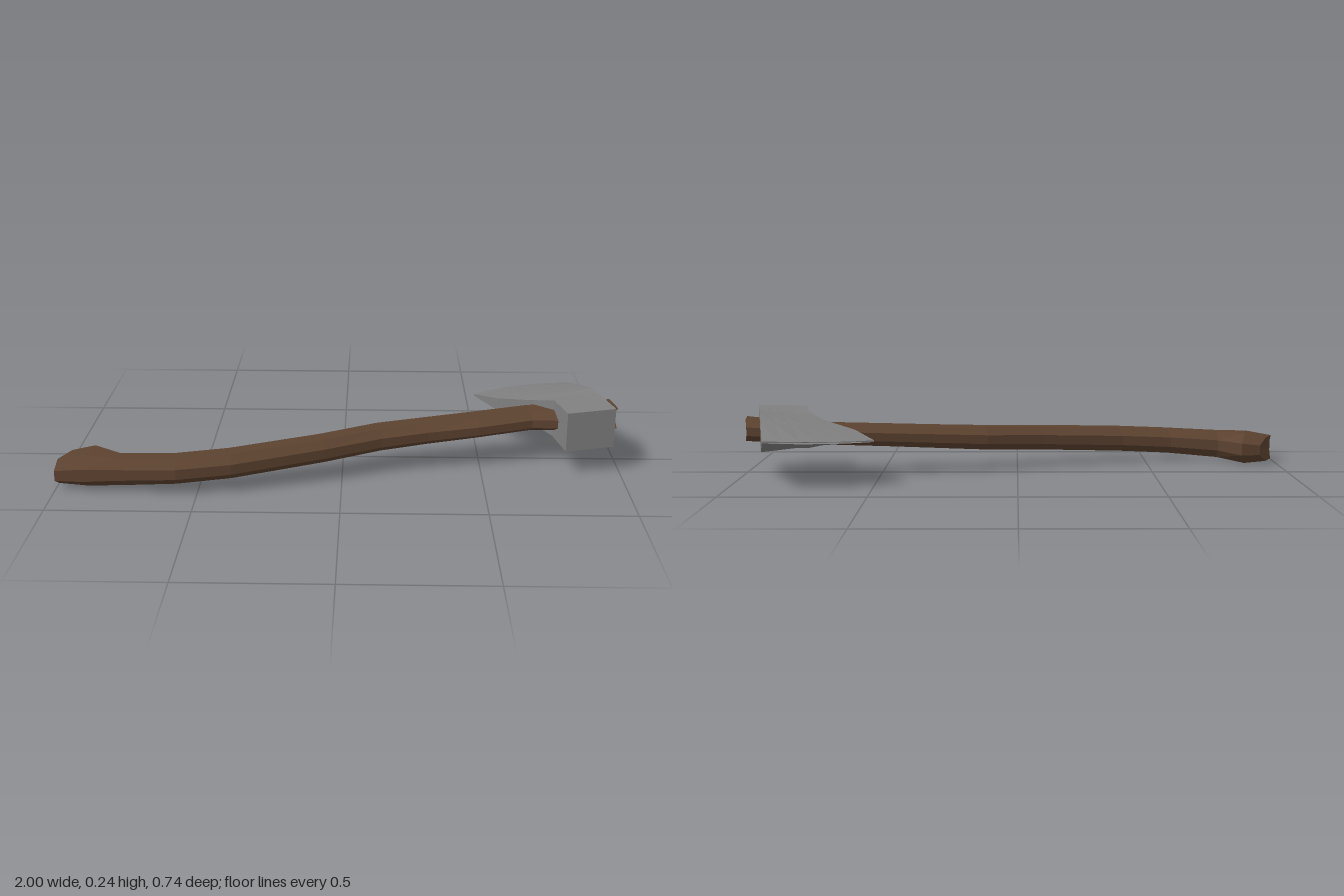
import * as THREE from 'three';

// Skin a list of closed rings (arrays of [x, y, z]) and cap both ends.
function loft(rings, color, name) {
  const n = rings[0].length, last = rings.length - 1, pos = [];
  const tri = (...pts) => pts.forEach((p) => pos.push(...p));
  const mid = (r) => [0, 1, 2].map((k) => r.reduce((s, p) => s + p[k], 0) / n);
  for (let j = 0; j < n; j++) {
    const k = (j + 1) % n;
    for (let i = 0; i < last; i++) {
      const a = rings[i], b = rings[i + 1];
      tri(a[j], b[j], b[k]);
      tri(a[j], b[k], a[k]);
    }
    tri(mid(rings[0]), rings[0][j], rings[0][k]);
    tri(mid(rings[last]), rings[last][k], rings[last][j]);
  }
  const geo = new THREE.BufferGeometry();
  geo.setAttribute('position', new THREE.Float32BufferAttribute(pos, 3));
  geo.computeVertexNormals();
  const mesh = new THREE.Mesh(geo, new THREE.MeshStandardMaterial({ color, flatShading: true }));
  mesh.name = name;
  return mesh;
}

// Curved handle: octagonal sections as front x, z, back x, z, half height.
function handle() {
  const sections = [
    [-1, 0.33, -0.93, 0.165, 0.046],
    [-0.9, 0.34, -0.86, 0.155, 0.058],
    [-0.78, 0.35, -0.78, 0.235, 0.05],
    [-0.57, 0.37, -0.6, 0.25, 0.046],
    [-0.38, 0.345, -0.41, 0.22, 0.045],
    [-0.06, 0.24, -0.1, 0.12, 0.043],
    [0.14, 0.16, 0.11, 0.03, 0.042],
    [0.31, 0.12, 0.28, -0.01, 0.04],
    [0.49, 0.09, 0.46, -0.055, 0.038],
    [0.69, 0.04, 0.67, -0.1, 0.037],
    [0.8, 0.06, 0.78, -0.105, 0.038],
    [0.93, 0.035, 0.92, -0.115, 0.039],
    [1, 0.02, 0.975, -0.115, 0.039],
  ];
  const rings = sections.map(([fx, fz, bx, bz, h], i) => {
    // The tip has a notch in its front side.
    const [t0, t1] = i === sections.length - 1 ? [0.25, 0] : [0, 0.27];
    const outline = [[t0, -0.4], [t0, 0.4], [t1, 1], [0.75, 1], [1, 0.4], [1, -0.4], [0.75, -1], [t1, -1]];
    return outline.map(([t, s]) => {
      const x = fx + (bx - fx) * t * t;
      return [x, 0.055 + 0.058 * (x + 1) + s * h, fz + (bz - fz) * t];
    });
  });
  return loft(rings, 0x5c4230, 'handle');
}

// Head: sections from the flat poll to the curved cutting edge, as
// distance on the straight side, on the bearded side, width, and half heights of both.
function head() {
  const sections = [
    [0, 0, 0.18, 0.0725, 0.0725],
    [0.15, 0.15, 0.178, 0.0725, 0.069],
    [0.235, 0.235, 0.23, 0.0725, 0.045],
    [0.35, 0.343, 0.33, 0.044, 0.024],
    [0.495, 0.467, 0.385, 0.004, 0.003],
  ];
  const columns = 6;
  const rings = sections.map(([b0, b1, width, h0, h1], i) => {
    const bulge = i === sections.length - 1 ? 0.14 : 0;
    const row = (side) => Array.from({ length: columns + 1 }, (_, j) => {
      const t = j / columns, a = width * t;
      const b = b0 + (b1 - b0) * t + bulge * t * (1 - t);
      return [
        0.975 - 0.977 * a - 0.212 * b,
        0.168 - 0.03 * a + side * (h0 + (h1 - h0) * t),
        0.11 + 0.212 * a - 0.977 * b,
      ];
    });
    return [...row(1), ...row(-1).reverse()];
  });
  return loft(rings, 0x808080, 'axeHead');
}

export function createModel() {
  const group = new THREE.Group();
  group.name = 'axe';
  group.add(handle(), head());
  return group;
}
